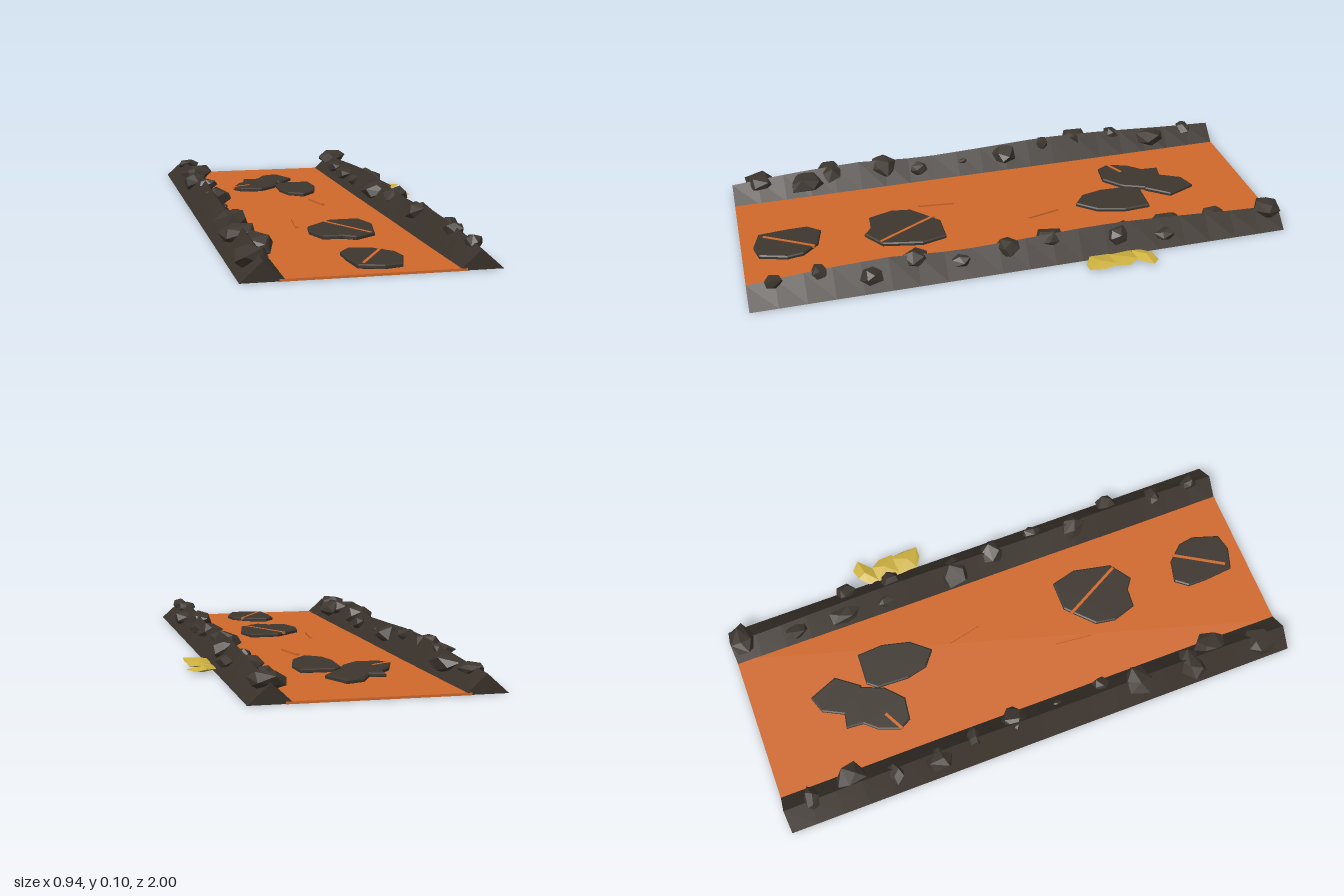
import * as THREE from 'three';
import { ConvexGeometry } from 'three/addons/geometries/ConvexGeometry.js';

const material = (name, color) => {
  const m = new THREE.MeshStandardMaterial({ color, flatShading: true });
  m.name = name;
  return m;
};

// Repeatable random numbers
function seeded(seed) {
  let s = seed * 7919 + 17;
  return () => (s = (s * 16807) % 2147483647) / 2147483647;
}

// Ridge height along the banks, as [z, height]
const RIDGE = [[-1, 0.066], [-0.8, 0.075], [-0.6, 0.087], [-0.42, 0.096], [-0.25, 0.098],
  [0, 0.088], [0.25, 0.08], [0.5, 0.096], [0.75, 0.087], [1, 0.066]];
function ridgeHeight(z) {
  for (let i = 1; i < RIDGE.length; i++) {
    const [z0, h0] = RIDGE[i - 1], [z1, h1] = RIDGE[i];
    if (z <= z1) return h0 + (h1 - h0) * (z - z0) / (z1 - z0);
  }
  return RIDGE[RIDGE.length - 1][1];
}

const BANK_HALF = 0.073;

// Triangular bank: a box whose top is pinched into a ridge
function bankGeometry() {
  const g = new THREE.BoxGeometry(BANK_HALF * 2, 1, 1.999, 2, 1, 20);
  const p = g.attributes.position;
  for (let i = 0; i < p.count; i++) {
    const top = p.getY(i) > 0 && Math.abs(p.getX(i)) < 0.001;
    p.setY(i, top ? ridgeHeight(p.getZ(i)) : 0.001);
  }
  g.computeVertexNormals();
  return g;
}

// Angular boulder: hull of uneven points spread over an ellipsoid
function rockGeometry(rx, ry, rz, seed) {
  const rnd = seeded(seed), pts = [], n = 13, turn = rnd() * 6;
  for (let i = 0; i < n; i++) {
    const y = 1 - 2 * (i + 0.5) / n, r = Math.sqrt(1 - y * y);
    const a = turn + i * 2.4 + rnd() * 0.5, k = 0.85 + rnd() * 0.3;
    pts.push(new THREE.Vector3(Math.cos(a) * r * rx * k, y * ry * k, Math.sin(a) * r * rz * k));
  }
  return new ConvexGeometry(pts);
}

// Thin slab from an outline in x, z
function plateGeometry(outline) {
  const shape = new THREE.Shape(outline.map(([x, z]) => new THREE.Vector2(x, -z)));
  const g = new THREE.ExtrudeGeometry(shape, {
    depth: 0.009, bevelEnabled: true, bevelSize: 0.005, bevelOffset: -0.005,
    bevelThickness: 0.004, bevelSegments: 1,
  });
  return g.rotateX(-Math.PI / 2).translate(0, 0.009, 0);
}

// Flat crystal: rim with a low apex above and below
function flakeGeometry(outline, y) {
  const pts = outline.map(([x, z], i) => new THREE.Vector3(x, y + (i % 2 ? 0.003 : -0.003), z));
  const c = pts.reduce((s, p) => s.add(p), new THREE.Vector3()).divideScalar(pts.length);
  pts.push(c.clone().setY(y + 0.011), c.clone().setY(Math.max(0, y - 0.011)));
  return new ConvexGeometry(pts);
}

export function createModel() {
  const group = new THREE.Group();
  const lavaMat = material('lava orange', 0xd0692b);
  const bankMat = material('bank brown', 0x3a322b);
  const rockMat = material('rock brown', 0x3d362f);
  const crustMat = material('crust brown', 0x3e362f);
  const sulfurMat = material('sulfur yellow', 0xcdb140);
  const add = (name, geometry, mat) => {
    const mesh = new THREE.Mesh(geometry, mat);
    mesh.name = name;
    group.add(mesh);
    return mesh;
  };

  // Lava bed
  add('lavaBed', new THREE.BoxGeometry(0.59, 0.008, 2), lavaMat).position.set(-0.043, 0.004, 0);

  // Banks with boulders: x, z, half width, half length
  const banks = [
    ['rightBank', -0.387, [
      [-0.38, -0.89, 0.05, 0.03], [-0.36, -0.73, 0.058, 0.068], [-0.4, -0.57, 0.042, 0.03],
      [-0.41, -0.41, 0.047, 0.053], [-0.375, -0.26, 0.037, 0.027], [-0.36, -0.095, 0.053, 0.053],
      [-0.36, 0.08, 0.012, 0.02], [-0.35, 0.265, 0.032, 0.037], [-0.386, 0.4, 0.063, 0.053],
      [-0.402, 0.61, 0.072, 0.053], [-0.355, 0.715, 0.053, 0.074], [-0.407, 0.89, 0.063, 0.058]]],
    ['leftBank', 0.298, [
      [0.296, -0.95, 0.069, 0.048], [0.264, -0.75, 0.032, 0.048], [0.264, -0.555, 0.037, 0.068],
      [0.35, -0.52, 0.03, 0.042], [0.26, -0.386, 0.027, 0.032], [0.323, -0.344, 0.042, 0.042],
      [0.27, -0.1, 0.063, 0.058], [0.302, 0.064, 0.053, 0.053], [0.323, 0.243, 0.032, 0.042],
      [0.286, 0.397, 0.048, 0.053], [0.333, 0.57, 0.042, 0.048], [0.296, 0.746, 0.037, 0.032],
      [0.302, 0.905, 0.032, 0.037]]],
  ];
  banks.forEach(([name, x0, rocks], b) => {
    add(name, bankGeometry(), bankMat).position.x = x0;
    rocks.forEach(([x, z, rx, rz], i) => {
      const ry = Math.min(0.038, 0.8 * Math.min(rx, rz));
      const slope = ridgeHeight(z) * (1 - Math.abs(x - x0) / BANK_HALF);
      const y = Math.min(0.104 - ry, Math.max(slope, 0.052));
      add('rock', rockGeometry(rx, ry, rz, b * 40 + i + 1), rockMat).position.set(x, y, z);
    });
  });

  // Crust plates floating on the lava
  const plates = [
    [[0, -0.78], [0.045, -0.67], [-0.02, -0.585], [-0.085, -0.6], [-0.11, -0.67], [-0.065, -0.757]],
    [[-0.16, -0.69], [-0.085, -0.677], [-0.025, -0.59], [-0.06, -0.505], [-0.125, -0.445],
      [-0.21, -0.455], [-0.235, -0.5], [-0.205, -0.58], [-0.165, -0.625]],
    [[-0.02, -0.565], [0.1, -0.56], [0.106, -0.46], [0.08, -0.355], [0.02, -0.285],
      [-0.037, -0.33], [-0.055, -0.41], [-0.05, -0.53]],
    [[-0.005, 0.25], [0.106, 0.25], [0.13, 0.345], [0.1, 0.49], [0.02, 0.545], [-0.02, 0.515],
      [-0.09, 0.51], [-0.118, 0.42], [-0.106, 0.345], [-0.048, 0.29]],
    [[-0.053, 0.7], [0.03, 0.72], [0.085, 0.78], [0.095, 0.84], [0.063, 0.94], [0, 0.955],
      [-0.08, 0.93], [-0.09, 0.82], [-0.09, 0.746]],
  ];
  plates.forEach((outline) => add('crustPlate', plateGeometry(outline), crustMat));

  // Glowing cracks through the plates and loose streaks: x0, z0, x1, z1, top
  const cracks = [[-0.235, -0.495, -0.16, -0.535, 0.0232], [-0.035, 0.27, 0.085, 0.495, 0.0232],
    [0.05, 0.735, -0.058, 0.915, 0.0232], [-0.137, 0.31, -0.123, 0.17, 0.015],
    [0.054, -0.085, 0.026, -0.21, 0.015]];
  for (const [x0, z0, x1, z1, top] of cracks) {
    const length = Math.hypot(x1 - x0, z1 - z0);
    const crack = add('lavaCrack', new THREE.BoxGeometry(0.011, 0.009, length), lavaMat);
    crack.position.set((x0 + x1) / 2, top - 0.0045, (z0 + z1) / 2);
    crack.rotation.y = Math.atan2(x1 - x0, z1 - z0);
  }

  // Sulfur flakes beside the left bank
  const flakes = [
    [[0.362, -0.42], [0.4, -0.455], [0.44, -0.466], [0.472, -0.438], [0.425, -0.39], [0.37, -0.385]],
    [[0.362, -0.385], [0.425, -0.39], [0.45, -0.355], [0.45, -0.3], [0.37, -0.295]],
    [[0.362, -0.31], [0.44, -0.318], [0.45, -0.26], [0.448, -0.2], [0.408, -0.2], [0.368, -0.225]],
  ];
  flakes.forEach((outline, i) => add('sulfurFlake', flakeGeometry(outline, 0.012 + (i % 2) * 0.002), sulfurMat));

  return group;
}
